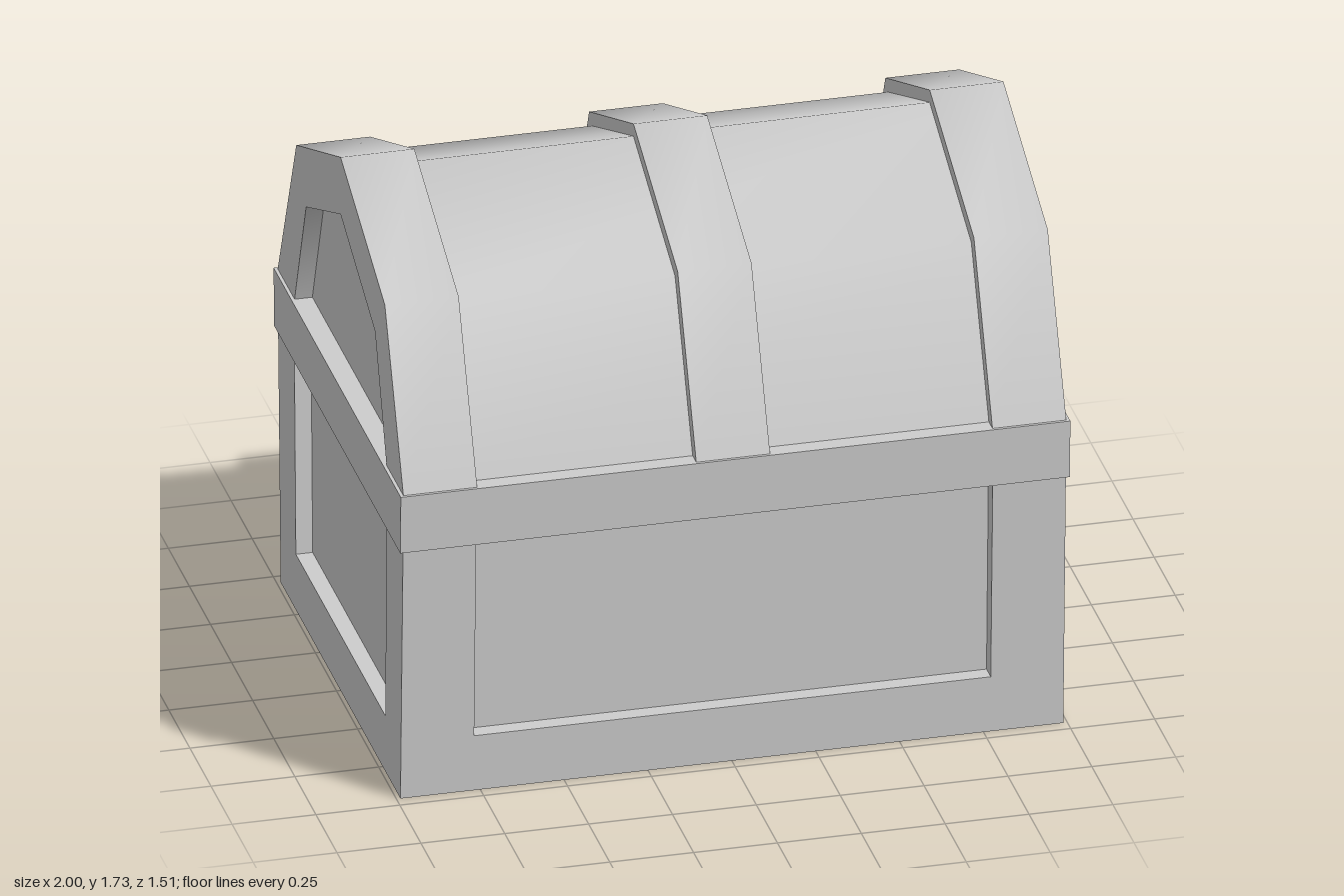
import * as THREE from 'three';
import { toCreasedNormals } from 'three/addons/utils/BufferGeometryUtils.js';

export function createModel() {
  const chest = new THREE.Group();
  chest.name = 'chest';
  const grey = new THREE.MeshStandardMaterial({ color: 0xcccccc });
  grey.name = 'grey';

  const add = (name, geometry, turn = 0) => {
    const mesh = new THREE.Mesh(geometry, grey);
    mesh.name = name;
    mesh.rotation.y = turn;
    chest.add(mesh);
  };
  const shapeOf = (pts) => new THREE.Shape(pts.map(([x, y]) => new THREE.Vector2(x, y)));
  const extrude = (shape, depth) =>
    new THREE.ExtrudeGeometry(shape, { depth, bevelEnabled: false });

  // The lower body widens in depth towards the top
  const taper = (geometry) => {
    const p = geometry.attributes.position;
    for (let i = 0; i < p.count; i++) p.setZ(i, p.getZ(i) * (1 + 0.052 * p.getY(i)));
    geometry.computeVertexNormals();
    return geometry;
  };

  // Lower body: U-shaped frames with recessed panels on all four sides
  const top = 0.815, sill = 0.18;
  const frame = (half, open) => extrude(shapeOf([
    [-half, 0], [half, 0], [half, top], [open, top],
    [open, sill], [-open, sill], [-open, top], [-half, top],
  ]), 0.05);
  const panel = (half) => new THREE.BoxGeometry(half * 2, top - sill + 0.02, 0.05)
    .translate(0, (top + sill) / 2, 0);

  for (const [side, turn] of [['front', 0], ['back', Math.PI]]) {
    add(side + 'Frame', taper(frame(0.988, 0.77).translate(0, 0, 0.66)), turn);
    add(side + 'Panel', taper(panel(0.8).translate(0, 0, 0.635)), turn);
  }
  for (const [side, turn] of [['left', 0], ['right', Math.PI]]) {
    add(side + 'Frame', taper(frame(0.708, 0.525).translate(0, 0, 0.938).rotateY(Math.PI / 2)), turn);
    add(side + 'Panel', taper(panel(0.56).translate(0, 0, 0.913).rotateY(Math.PI / 2)), turn);
  }

  // Square posts inside the corners
  for (const x of [-1, 1]) for (const z of [-1, 1]) {
    add('cornerPost', taper(new THREE.BoxGeometry(0.13, 0.8, 0.13)
      .translate(x * 0.885, 0.43, z * 0.605)));
  }

  // Rim band around the opening
  const rim = shapeOf([[-0.998, -0.717], [0.998, -0.717], [0.998, 0.717], [-0.998, 0.717]]);
  rim.holes.push(new THREE.Path([[-0.86, -0.6], [-0.86, 0.6], [0.86, 0.6], [0.86, -0.6]]
    .map(([x, y]) => new THREE.Vector2(x, y))));
  add('rimBand', taper(extrude(rim, 0.185).rotateX(-Math.PI / 2).translate(0, top, 0)));

  // Lid: five-point arches running along x
  const profile = (base, knee, kneeY, peak) =>
    [[base, 1], [knee, kneeY], [0, peak], [-knee, kneeY], [-base, 1]];
  const ribOuter = profile(0.745, 0.525, 1.51, 1.73);
  const coreOuter = profile(0.702, 0.493, 1.48, 1.69);
  const coreInner = profile(0.645, 0.455, 1.435, 1.635);
  const opening = profile(0.545, 0.408, 1.367, 1.545);
  const arch = (outer, inner, x0, x1) => {
    const pts = inner ? [...outer, ...[...inner].reverse()] : outer;
    const g = extrude(shapeOf(pts), x1 - x0).rotateY(Math.PI / 2).translate(x0, 0, 0);
    return toCreasedNormals(g, 0.95);
  };

  add('lidBoards', arch(coreOuter, coreInner, -0.93, 0.93));
  add('middleRib', arch(ribOuter, coreInner, -0.115, 0.105));
  for (const [side, turn] of [['left', 0], ['right', Math.PI]]) {
    add(side + 'LidRib', arch(ribOuter, opening, 0.768, 0.988), turn);
    add(side + 'LidPanel', arch(coreOuter, null, 0.885, 0.935), turn);
  }

  return chest;
}
